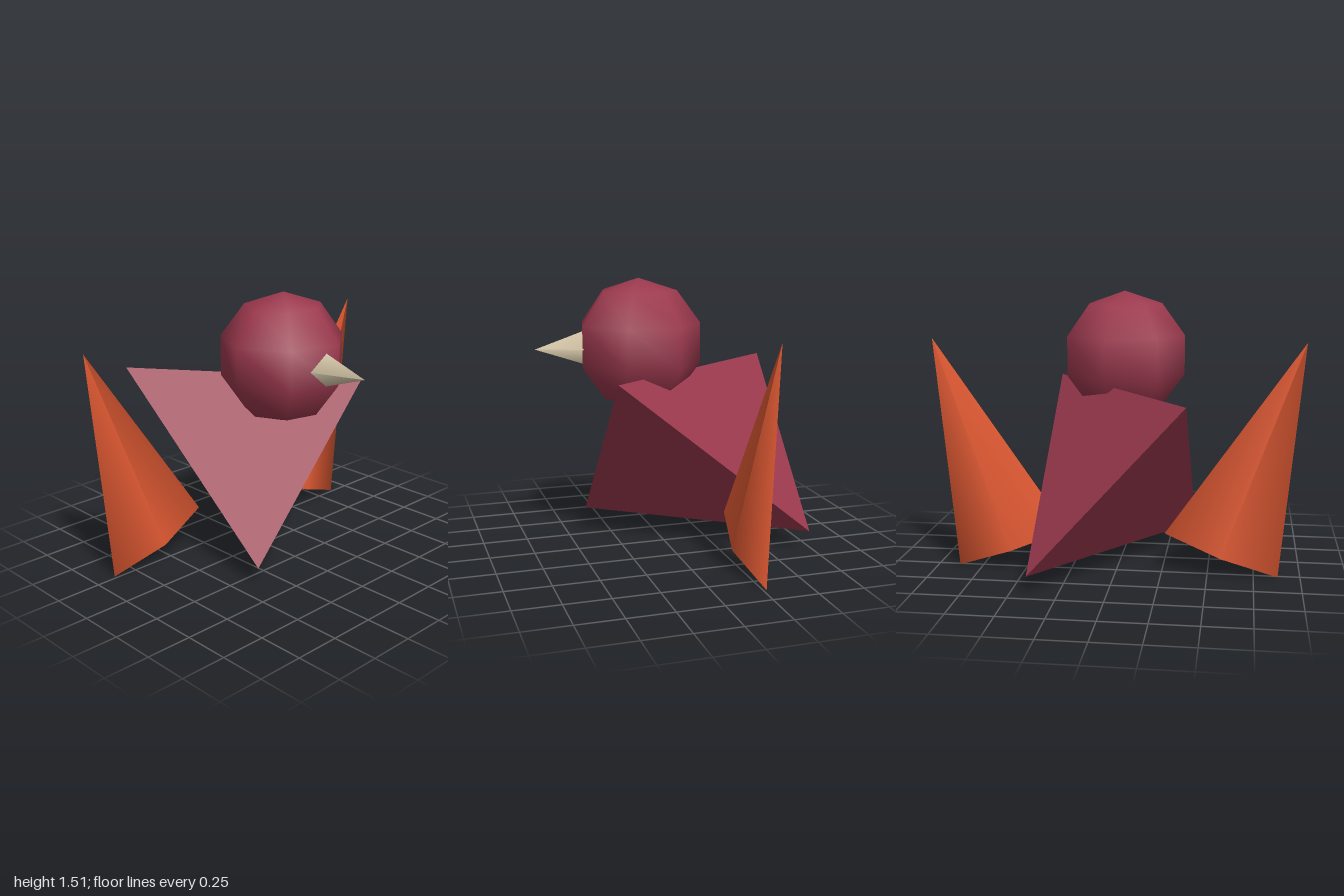
import * as THREE from 'three';

const material = (name, color) => {
  const m = new THREE.MeshStandardMaterial({ color });
  m.name = name;
  return m;
};

export function createModel() {
  const model = new THREE.Group();
  model.name = 'bird';
  const maroon = material('maroon', 0x9c394e);
  const orange = material('orange', 0xe25a33);
  const cream = material('cream', 0xdccdae);

  const add = (name, geometry, mat, x, y, z) => {
    const mesh = new THREE.Mesh(geometry, mat);
    mesh.name = name;
    mesh.position.set(x, y, z);
    model.add(mesh);
    return mesh;
  };

  // Body: a stretched tetrahedron on alternate corners of a box
  const body = add('body', new THREE.TetrahedronGeometry(Math.sqrt(3)), maroon, 0, 0.555, -0.18);
  body.scale.set(0.403, 0.445, 0.547);

  // Head: coarse, smooth-shaded ball
  add('head', new THREE.SphereGeometry(0.358, 7, 5), maroon, 0, 1.152, 0.145);

  // Beak: four-sided cone pointing forward, sunk into the head
  const beak = add('beak', new THREE.ConeGeometry(0.122, 0.36, 4), cream, 0, 1.142, 0.54);
  beak.rotation.x = Math.PI / 2;

  // Wings: flattened four-sided cones leaning outwards
  const wingGeometry = new THREE.ConeGeometry(0.326, 1.235, 4);
  for (const side of [1, -1]) {
    const name = side > 0 ? 'leftWing' : 'rightWing';
    const wing = add(name, wingGeometry, orange, side * 0.786, 0.693, -0.267);
    wing.rotation.z = -side * 0.351;
    wing.scale.z = 0.21;
  }
  return model;
}
